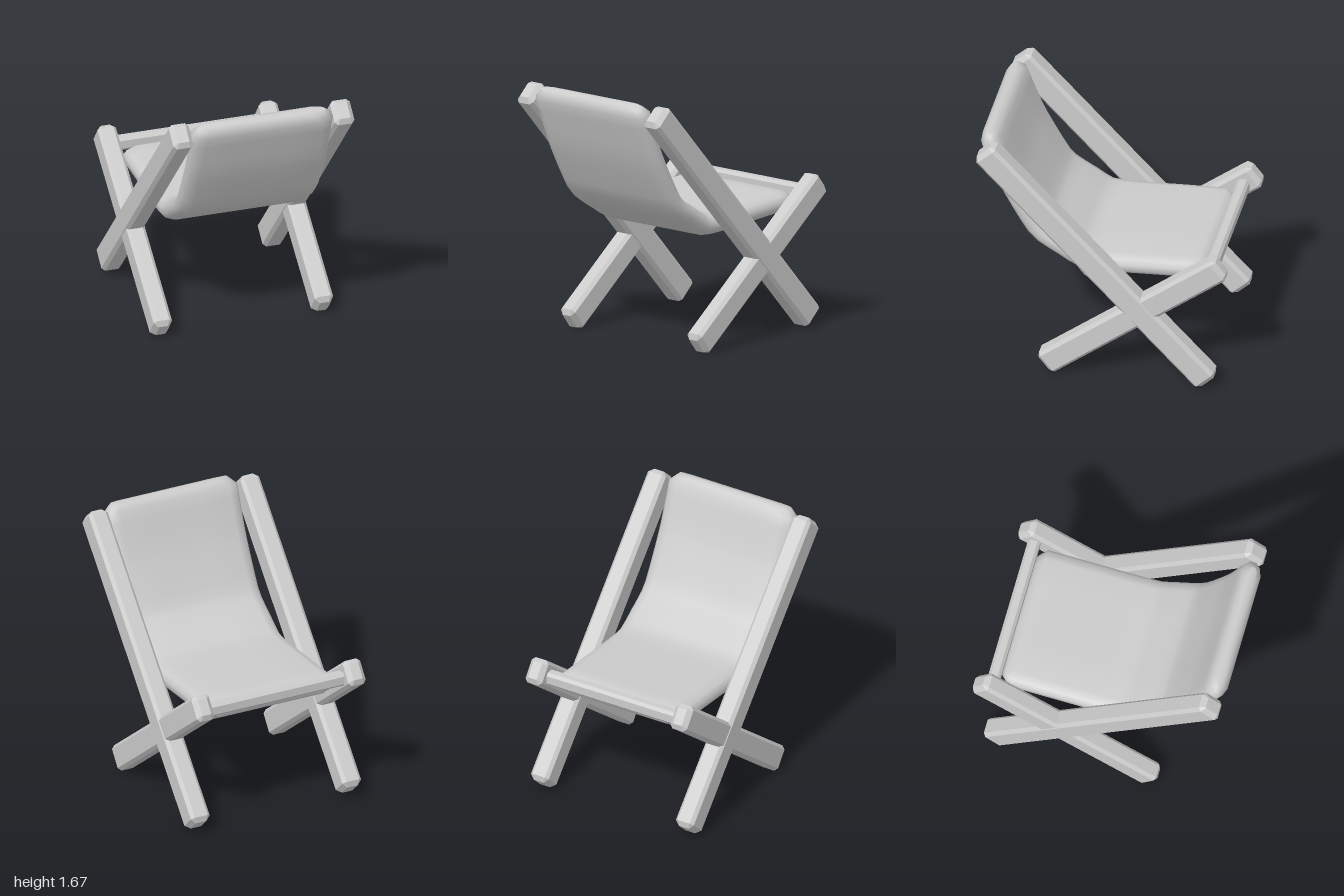
import * as THREE from 'three';

const grey = () => new THREE.MeshStandardMaterial({ color: 0xcccccc });

// Chamfered bar of the given section, running between two points of the local frame
function bar(name, a, b, width, depth, chamfer) {
  const x = width / 2 - chamfer, y = depth / 2 - chamfer, c = 0.004;
  const shape = new THREE.Shape([
    [-x, -y + c], [-x + c, -y], [x - c, -y], [x, -y + c],
    [x, y - c], [x - c, y], [-x + c, y], [-x, y - c],
  ].map(([px, py]) => new THREE.Vector2(px, py)));
  const length = a.distanceTo(b);
  const geo = new THREE.ExtrudeGeometry(shape, {
    depth: length - 2 * chamfer, bevelEnabled: true,
    bevelThickness: chamfer, bevelSize: chamfer, bevelSegments: 1,
  });
  geo.translate(0, 0, chamfer - length / 2);
  const material = grey();
  material.flatShading = true;
  const mesh = new THREE.Mesh(geo, material);
  mesh.name = name;
  mesh.position.addVectors(a, b).multiplyScalar(0.5);
  mesh.lookAt(b);
  return mesh;
}

// Padded sling: rounded cross-sections swept along the seat and back profile
function slingGeometry() {
  const profile = [
    [-0.66, 0.828], [-0.3, 0.808], [0.0, 0.79], [0.16, 0.797],
    [0.29, 0.873], [0.455, 0.985], [0.64, 1.31], [0.755, 1.6], [0.782, 1.675],
  ];
  const curve = new THREE.CatmullRomCurve3(
    profile.map(([z, y]) => new THREE.Vector3(0, y, z)), false, 'catmullrom', 0.3);
  const length = curve.getLength();

  // Stations along the profile, tightened near both ends
  const stations = [0, 0, 0.02, 0.06];
  const inner = 24;
  for (let i = 1; i < inner; i++) stations.push(0.06 + (length - 0.12) * i / inner);
  stations.push(length - 0.06, length - 0.02, length, length);

  const positions = [], index = [];
  const count = 16;
  stations.forEach((d, i) => {
    const u = Math.min(1, d / length);
    const p = curve.getPointAt(u), t = curve.getTangentAt(u);
    const k = Math.min(1, Math.min(d, length - d) / 0.06);
    const w = 0.472 - 0.06 * (1 - k);
    const h = 0.07 * (0.35 + 0.65 * Math.sqrt(Math.max(0, k)));
    const close = i === 0 || i === stations.length - 1 ? 0 : 1;
    const q = [[w, 0.28], [w - 0.025, 0.7], [w - 0.08, 1], [w * 0.4, 1]];
    const mirrorX = [...q].reverse().map(([x, y]) => [-x, y]);
    const top = [...q, ...mirrorX];
    const ring = [...top, ...top.map(([x, y]) => [-x, -y])];
    for (const [x, y] of ring) {
      const n = y * h * close;
      positions.push(x * close, p.y + t.z * n, p.z - t.y * n);
    }
    if (i === 0) return;
    for (let j = 0; j < count; j++) {
      const a = (i - 1) * count + j, b = (i - 1) * count + (j + 1) % count;
      index.push(a, b, a + count, b, b + count, a + count);
    }
  });
  const geo = new THREE.BufferGeometry();
  geo.setAttribute('position', new THREE.Float32BufferAttribute(positions, 3));
  geo.setIndex(index);
  geo.computeVertexNormals();
  return geo;
}

export function createModel() {
  const model = new THREE.Group();
  model.name = 'slingChair';
  const chair = new THREE.Group();
  chair.name = 'chair';
  const v = (x, y, z) => new THREE.Vector3(x, y, z);

  // Crossed side frames
  for (const [side, x] of [['left', 0.543], ['right', -0.543]]) {
    chair.add(bar(side + 'BackBeam', v(x, 0.07, -0.69), v(x, 1.635, 0.775), 0.134, 0.17, 0.03));
    chair.add(bar(side + 'SeatBeam', v(x, 0.06, 0.38), v(x, 0.955, -0.775), 0.124, 0.17, 0.03));
  }

  // Rail joining the seat beams
  chair.add(bar('crossRail', v(-0.51, 0.885, -0.695), v(0.51, 0.885, -0.695), 0.08, 0.09, 0.024));

  // Sling seat and back in one piece
  const sling = new THREE.Mesh(slingGeometry(), grey());
  sling.name = 'sling';
  chair.add(sling);

  // The chair stands turned on the ground
  chair.rotation.y = 0.662;
  model.add(chair);
  const box = new THREE.Box3().setFromObject(model, true);
  chair.position.y = -box.min.y;
  return model;
}
